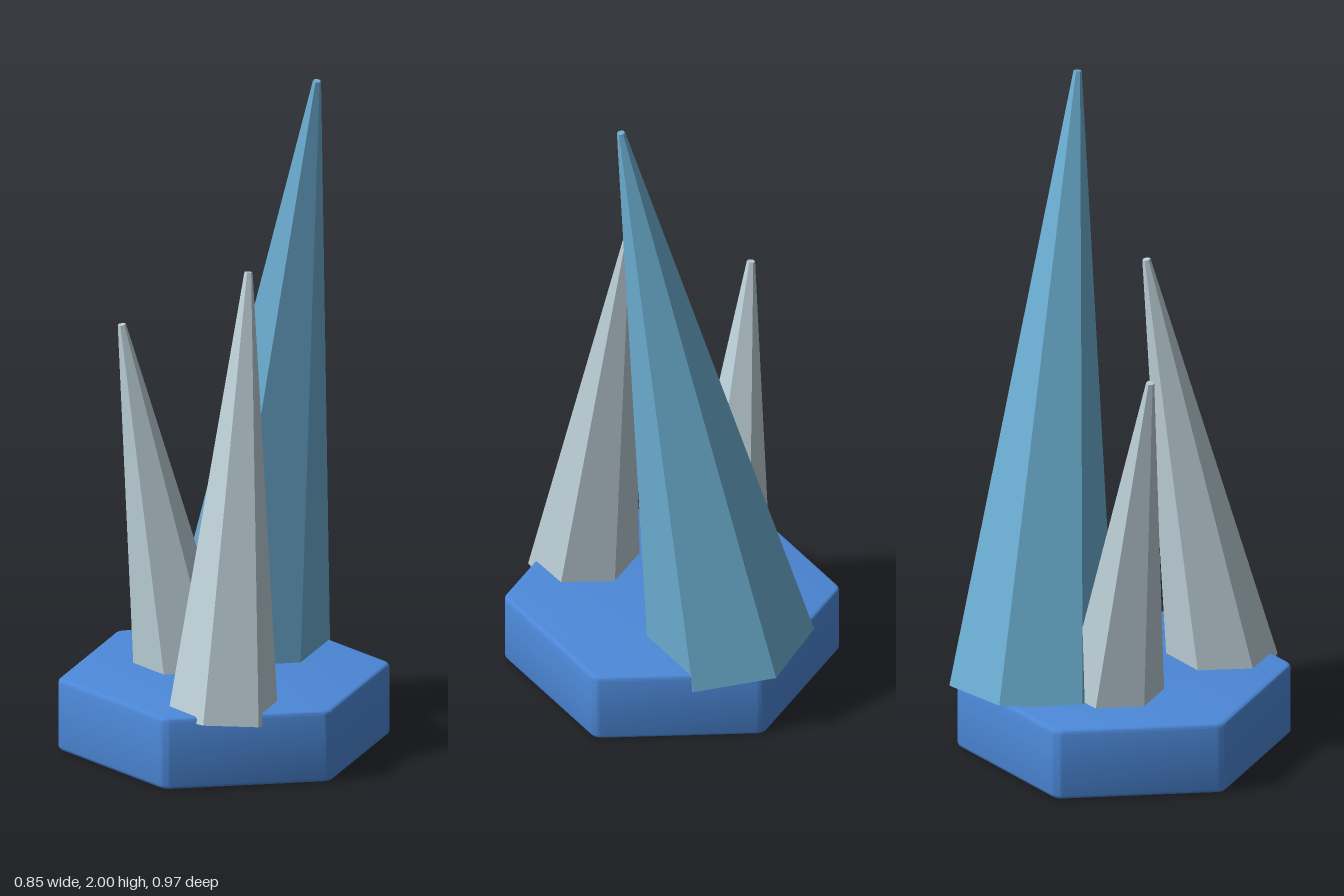
import * as THREE from 'three';
import { toCreasedNormals } from 'three/addons/utils/BufferGeometryUtils.js';

const material = (name, color, flatShading = false) =>
  Object.assign(new THREE.MeshStandardMaterial({ color, flatShading }), { name });

// Hexagon outline with points up and down and slightly rounded corners
function roundedHexagon(radius, cut) {
  const corners = Array.from({ length: 6 }, (_, i) => {
    const a = Math.PI / 2 + (i * Math.PI) / 3;
    return new THREE.Vector2(Math.cos(a) * radius, Math.sin(a) * radius);
  });
  const shape = new THREE.Shape();
  corners.forEach((c, i) => {
    const before = c.clone().lerp(corners[(i + 5) % 6], cut);
    const after = c.clone().lerp(corners[(i + 1) % 6], cut);
    if (i === 0) shape.moveTo(before.x, before.y);
    else shape.lineTo(before.x, before.y);
    shape.quadraticCurveTo(c.x, c.y, after.x, after.y);
  });
  shape.closePath();
  return shape;
}

// Six-sided tapering spike leaning from a base centre to a tip
function crystal(name, mat, base, tip, radius) {
  const from = new THREE.Vector3(...base);
  const axis = new THREE.Vector3(...tip).sub(from);
  const height = axis.length();
  const geometry = new THREE.CylinderGeometry(0.012, radius, height, 6);
  geometry.translate(0, height / 2, 0);
  const mesh = new THREE.Mesh(geometry, mat);
  mesh.name = name;
  mesh.position.copy(from);
  mesh.quaternion.setFromUnitVectors(new THREE.Vector3(0, 1, 0), axis.normalize());
  return mesh;
}

export function createModel() {
  const model = new THREE.Group();
  model.name = 'crystalCluster';

  const baseBlue = material('base blue', 0x4c88d8);
  const crystalBlue = material('crystal blue', 0x6caed2, true);
  const crystalGrey = material('crystal pale grey', 0xbccfd7, true);

  // Hexagonal plinth with softened edges
  const bevel = 0.012;
  const plate = new THREE.ExtrudeGeometry(roundedHexagon(0.474, 0.03), {
    depth: 0.216 - 2 * bevel, bevelEnabled: true, bevelSize: bevel,
    bevelThickness: bevel, bevelSegments: 3, curveSegments: 4,
  });
  plate.translate(0, 0, bevel);
  plate.rotateX(-Math.PI / 2);
  const plinth = new THREE.Mesh(toCreasedNormals(plate, 0.7), baseBlue);
  plinth.name = 'plinth';
  plinth.position.x = -0.003;
  model.add(plinth);

  // Leaning crystals
  model.add(
    crystal('tallCrystal', crystalBlue, [0.214, 0.182, -0.16], [0.214, 1.998, 0.158], 0.243),
    crystal('frontCrystal', crystalGrey, [-0.205, 0.172, 0.244], [-0.016, 1.458, 0.128], 0.162),
    crystal('backCrystal', crystalGrey, [-0.035, 0.178, -0.144], [-0.19, 1.243, -0.237], 0.147),
  );
  return model;
}
